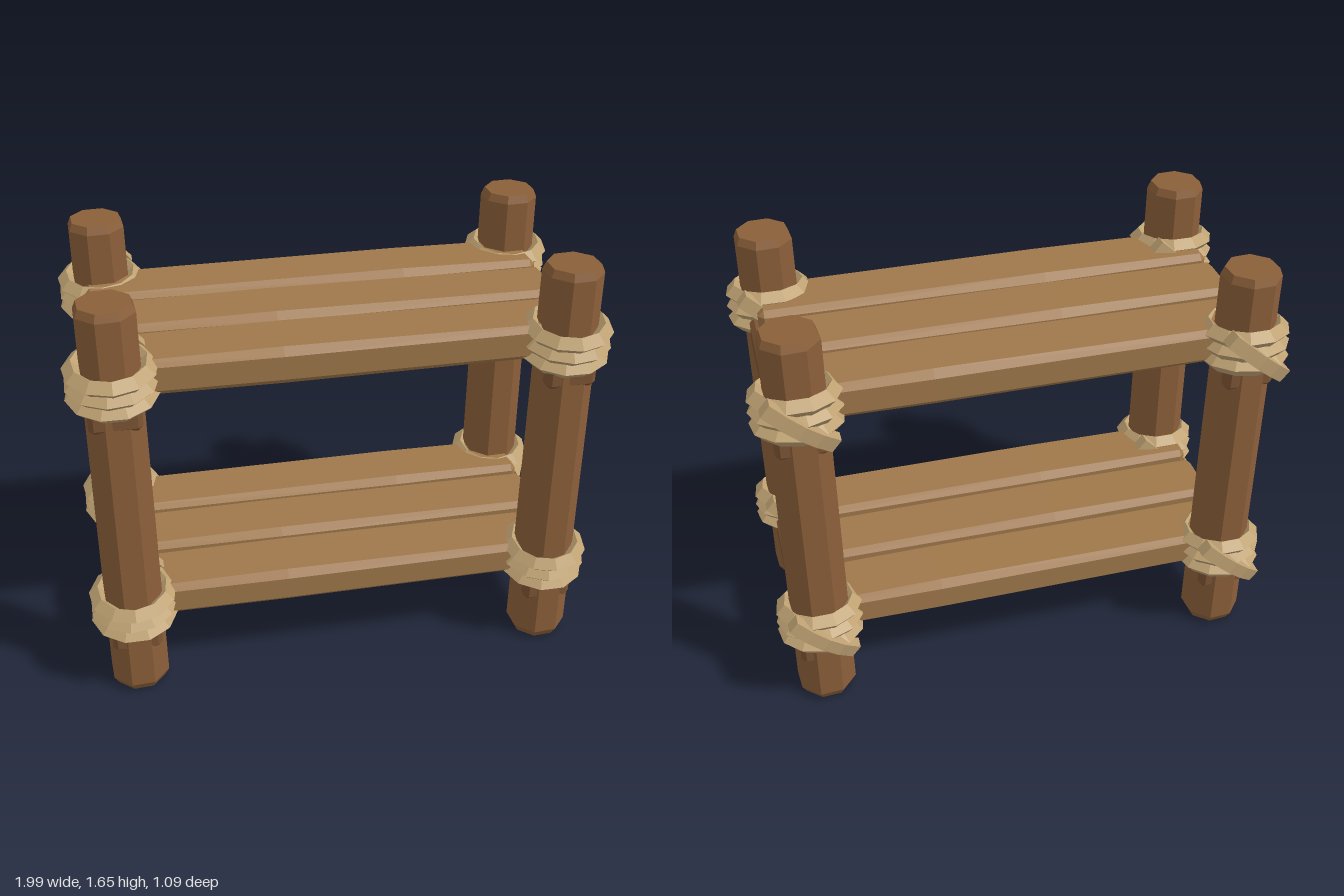
import * as THREE from 'three';
import { ConvexGeometry } from 'three/addons/geometries/ConvexGeometry.js';

const mat = (color) => new THREE.MeshStandardMaterial({ color, flatShading: true, roughness: 0.9 });
const POST = mat(0x8b5f39), BEAM = mat(0x7d5534), PLANK = mat(0x9f774a), ROPE = mat(0xbfa273);

const POST_X = 0.828, POST_Z = 0.372, SHELF_STEP = 0.985;

function add(parent, name, geometry, material, x = 0, y = 0, z = 0) {
  const mesh = new THREE.Mesh(geometry, material);
  mesh.name = name;
  mesh.position.set(x, y, z);
  parent.add(mesh);
  return mesh;
}

// Box with every edge chamfered; an optional slight swell at x = swellAt looks hand-hewn
function hewnBox(w, h, d, c, swell = 0, swellAt = 0) {
  const pts = [], a = w / 2, b = h / 2, e = d / 2;
  for (const i of [-1, 1]) for (const j of [-1, 1]) for (const k of [-1, 1]) {
    pts.push(
      new THREE.Vector3(i * a, j * (b - c), k * (e - c)),
      new THREE.Vector3(i * (a - c), j * b, k * (e - c)),
      new THREE.Vector3(i * (a - c), j * (b - c), k * e));
    if (swell && i > 0) pts.push(
      new THREE.Vector3(swellAt, j * (b + swell), k * (e - c)),
      new THREE.Vector3(swellAt, j * (b - c), k * (e + swell)));
  }
  return new ConvexGeometry(pts);
}

// Eight-sided post with bevelled ends and a slight taper
function postGeometry() {
  const profile = [[0, 0], [0.098, 0], [0.118, 0.035], [0.111, 1.62], [0.098, 1.65], [0, 1.65]];
  const geo = new THREE.LatheGeometry(profile.map(([r, y]) => new THREE.Vector2(r, y)), 8);
  return geo.rotateY(Math.PI / 8 + 0.06);
}

// Short strand bent around the back of a lashing
function strandGeometry() {
  const geo = new THREE.BoxGeometry(0.29, 0.055, 0.05, 4, 1, 1);
  const p = geo.attributes.position;
  for (let i = 0; i < p.count; i++) p.setZ(i, p.getZ(i) + 1.4 * p.getX(i) ** 2);
  return geo;
}

// Three tilted rope turns and one diagonal strand
function lashing(x, y, z) {
  const group = new THREE.Group();
  group.name = 'ropeLashing';
  group.position.set(x, y, z);
  const turns = new THREE.Group();
  turns.name = 'ropeTurns';
  turns.rotation.x = 0.12;
  for (let i = -1; i <= 1; i++) {
    const ring = new THREE.TorusGeometry(0.133, 0.035, 4, 11).rotateX(Math.PI / 2);
    add(turns, 'ropeTurn', ring, ROPE, 0, i * 0.053, 0).rotation.y = i * 0.15;
  }
  group.add(turns);
  add(group, 'ropeStrand', strandGeometry(), ROPE, 0, 0, -0.15).rotation.z = 0.68;
  return group;
}

export function createModel() {
  const model = new THREE.Group();
  model.name = 'lashedShelf';

  // Corner posts
  const post = postGeometry();
  for (const sx of [-1, 1]) for (const sz of [-1, 1])
    add(model, 'post', post, POST, sx * POST_X, 0, sz * POST_Z + 0.005);

  for (let level = 0; level < 2; level++) {
    const shelf = new THREE.Group();
    shelf.name = level ? 'upperShelf' : 'lowerShelf';
    shelf.position.y = level * SHELF_STEP;

    // Side beams running front to back
    for (const sx of [-1, 1])
      add(shelf, 'sideBeam', hewnBox(0.19, 0.155, 0.95, 0.018), BEAM, sx * POST_X, 0.282, 0.007);

    // Planks
    [-0.275, 0.003, 0.282].forEach((z, i) =>
      add(shelf, 'plank', hewnBox(1.79, 0.135, 0.245, 0.022, 0.006, [0.35, -0.2, -0.22][i]),
        PLANK, -0.003, 0.365, z));

    // Rope lashings at the corners
    for (const sx of [-1, 1]) for (const sz of [-1, 1])
      shelf.add(lashing(sx * POST_X, 0.364, sz * POST_Z + 0.003));
    model.add(shelf);
  }
  return model;
}
